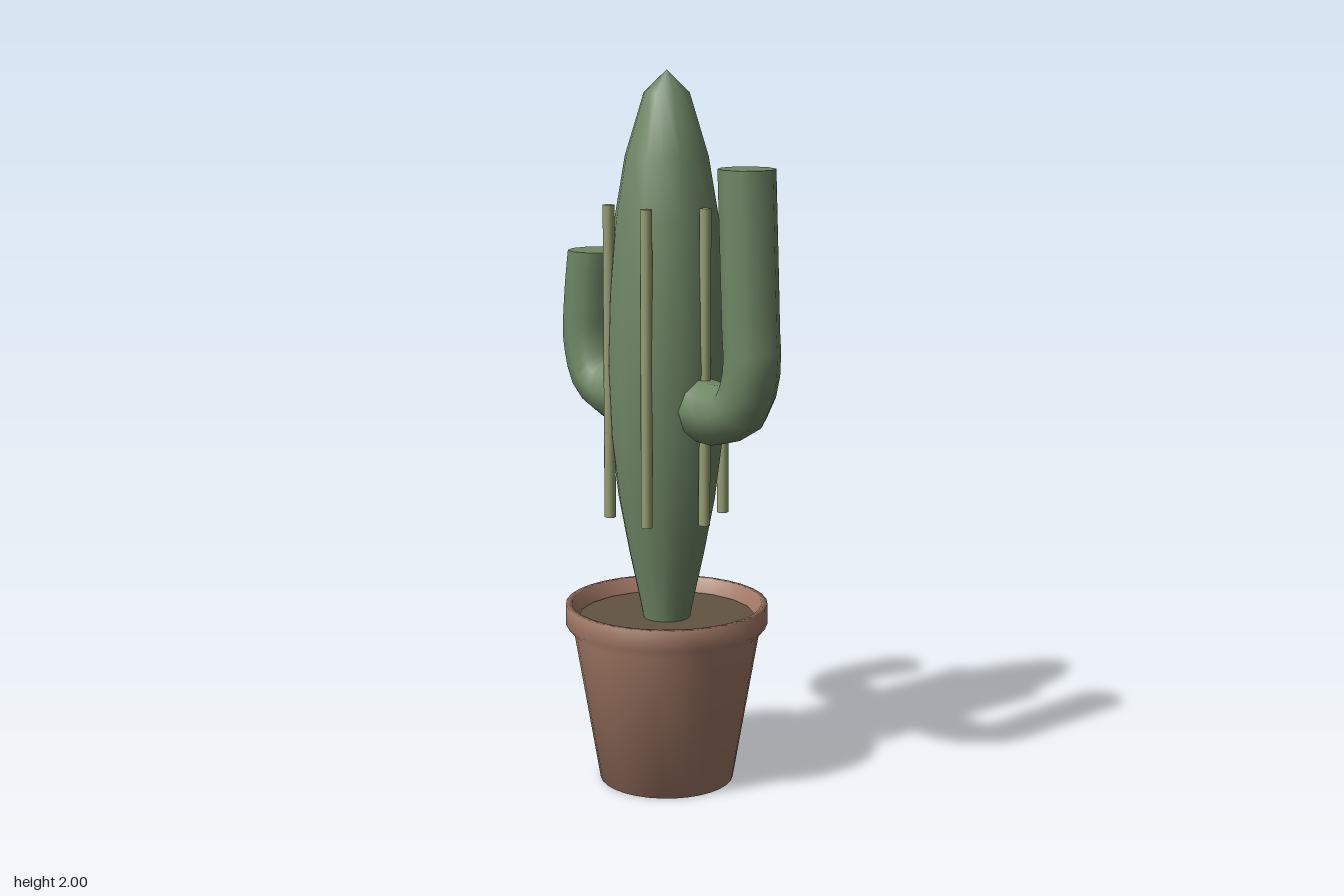
import * as THREE from 'three';

const v2 = (pts) => pts.map(([x, y]) => new THREE.Vector2(x, y));

function material(name, color) {
  const m = new THREE.MeshStandardMaterial({ color });
  m.name = name;
  return m;
}

export function createModel() {
  const green = material('cactus green', 0x6f8765);
  const pale = material('pale rib green', 0x98a174);
  const clay = material('terracotta', 0xa47b67);
  const earth = material('soil brown', 0x625442);

  const model = new THREE.Group();
  model.name = 'pottedCactus';

  function add(name, geometry, mat, parent = model) {
    const mesh = new THREE.Mesh(geometry, mat);
    mesh.name = name;
    parent.add(mesh);
    return mesh;
  }

  // Pot: tapered wall, flared rim and inner lip
  add('pot', new THREE.LatheGeometry(v2([
    [0, 0], [0.19, 0], [0.262, 0.43], [0.285, 0.457], [0.285, 0.515],
    [0.268, 0.515], [0.252, 0.46], [0.245, 0.44],
  ]), 32), clay);

  // Soil disc
  add('soil', new THREE.CylinderGeometry(0.25, 0.245, 0.02, 20), earth).position.y = 0.465;

  // Trunk
  add('trunk', new THREE.LatheGeometry(v2([
    [0.062, 0.45], [0.074, 0.515], [0.105, 0.66], [0.135, 0.82], [0.157, 1.0], [0.166, 1.2],
    [0.16, 1.4], [0.143, 1.6], [0.114, 1.77], [0.062, 1.94], [0, 2.0],
  ]), 16), green);

  // Six straight ribs around the trunk
  for (let i = 0; i < 6; i++) {
    const a = (i * Math.PI) / 3;
    const rib = add('rib', new THREE.CylinderGeometry(0.016, 0.016, 0.87, 8), pale);
    rib.position.set(0.16 * Math.cos(a), 1.205, 0.16 * Math.sin(a));
  }

  // Arms: a bent tube with a slightly taller root and a flat cap
  function addArm(name, side, bendX, height) {
    const arm = new THREE.Group();
    arm.name = name;
    const tipX = bendX - 0.024;
    const path = new THREE.CatmullRomCurve3([
      [0.1, 1.1], [0.2, 1.088], [bendX - 0.045, 1.115], [bendX, 1.22],
      [bendX - 0.004, 1.34], [tipX, height],
    ].map(([x, y]) => new THREE.Vector3(side * x, y, 0)));
    const tube = new THREE.TubeGeometry(path, 16, 0.077, 10);
    const p = tube.attributes.position;
    for (let i = 0; i < p.count; i++) {
      const y = p.getY(i);
      const k = THREE.MathUtils.clamp((0.3 - Math.abs(p.getX(i))) / 0.1, 0, 1);
      if (y < 1.2) p.setY(i, y + (y - 1.09) * 0.16 * k);
      if (i >= p.count - 11) p.setY(i, height);
    }
    tube.computeBoundingSphere();
    add(name + 'Stem', tube, green, arm);
    const cap = add(name + 'Cap', new THREE.CircleGeometry(0.077, 10, Math.PI / 2), green, arm);
    cap.rotation.x = -Math.PI / 2;
    cap.position.set(side * tipX, height, 0);
    model.add(arm);
  }
  addArm('leftArm', 1, 0.347, 1.755);
  addArm('rightArm', -1, 0.341, 1.485);

  // Centre the whole on the arm span
  model.position.x = -0.004;
  return model;
}
